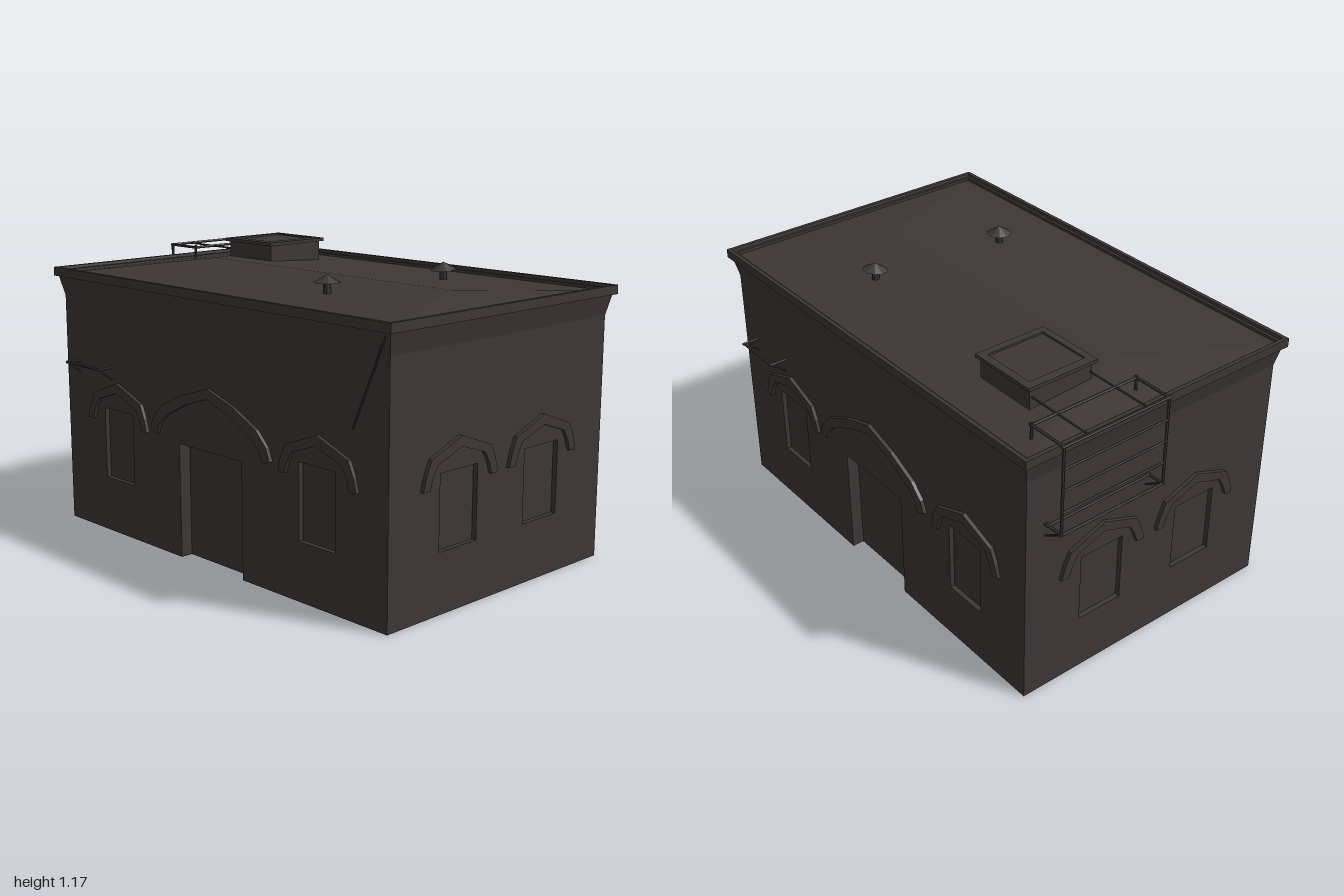
import * as THREE from 'three';

const HX = 0.6, HZ = 0.9375, CZ = 0.0275, WALL_TOP = 0.97;
const charcoal = new THREE.MeshStandardMaterial({ color: 0x3d3636, side: THREE.DoubleSide, flatShading: true });
charcoal.name = 'charcoal';

function add(parent, name, geometry, x = 0, y = 0, z = 0) {
  const mesh = new THREE.Mesh(geometry, charcoal);
  mesh.name = name;
  mesh.position.set(x, y, z);
  parent.add(mesh);
  return mesh;
}

// round bar between two points
function rod(parent, name, a, b, r = 0.006) {
  const p = new THREE.Vector3(...a), q = new THREE.Vector3(...b);
  const d = q.clone().sub(p);
  const mesh = add(parent, name, new THREE.CylinderGeometry(r, r, d.length(), 6));
  mesh.position.copy(p).add(q).multiplyScalar(0.5);
  mesh.quaternion.setFromUnitVectors(new THREE.Vector3(0, 1, 0), d.normalize());
}

// recess open to the front (and to the ground for doors)
function recess(parent, name, [u, y0, y1, w, depth]) {
  const g = new THREE.BoxGeometry(w, y1 - y0, depth);
  const idx = Array.from(g.index.array);
  const open = y0 === 0 ? [...idx.slice(0, 18), ...idx.slice(30)] : [...idx.slice(0, 24), ...idx.slice(30)];
  g.setIndex(open);
  g.clearGroups();
  add(parent, name, g, u, (y0 + y1) / 2, -depth / 2);
}

// raised arch moulding, from half profiles mirrored about its centre
function arch(parent, u, outer, inner) {
  const mirror = (pts) => pts.slice(0, -1).reverse().map(([x, y]) => [-x, y]);
  const loop = [...outer, ...mirror(outer), ...[...inner, ...mirror(inner)].reverse()];
  const shape = new THREE.Shape(loop.map(([x, y]) => new THREE.Vector2(x, y)));
  add(parent, 'archMoulding', new THREE.ExtrudeGeometry(shape, { depth: 0.015, bevelEnabled: false }), u);
}
const smallArch = (parent, u) => arch(parent, u,
  [[-0.2, 0.475], [-0.185, 0.53], [-0.16, 0.585], [0, 0.645]],
  [[-0.165, 0.475], [-0.15, 0.52], [-0.125, 0.562], [0, 0.605]]);
const largeArch = (parent, u) => arch(parent, u,
  [[-0.355, 0.5], [-0.335, 0.55], [-0.28, 0.605], [-0.15, 0.668], [0, 0.715]],
  [[-0.315, 0.485], [-0.295, 0.53], [-0.25, 0.572], [-0.13, 0.632], [0, 0.675]]);

// one wall in its own plane, with holes and recesses
function wall(name, half, openings) {
  const group = new THREE.Group();
  group.name = name;
  const door = openings.find((o) => o[1] === 0);
  const pts = [[-half, 0]];
  if (door) {
    const [u, , top, w] = door;
    pts.push([u - w / 2, 0], [u - w / 2, top], [u + w / 2, top], [u + w / 2, 0]);
  }
  pts.push([half, 0], [half, WALL_TOP], [-half, WALL_TOP]);
  const shape = new THREE.Shape(pts.map(([x, y]) => new THREE.Vector2(x, y)));
  for (const o of openings) {
    recess(group, o === door ? 'door' : 'window', o);
    if (o === door) continue;
    const [u, y0, y1, w] = o;
    shape.holes.push(new THREE.Path([[u - w / 2, y0], [u - w / 2, y1], [u + w / 2, y1], [u + w / 2, y0]]
      .map(([x, y]) => new THREE.Vector2(x, y))));
  }
  add(group, 'wallFace', new THREE.ShapeGeometry(shape));
  return group;
}

function endWall(name) {
  const g = wall(name, HX, [[-0.24, 0.235, 0.522, 0.2, 0.02], [0.228, 0.235, 0.525, 0.2, 0.02]]);
  smallArch(g, -0.243);
  smallArch(g, 0.222);
  return g;
}

function sideWall(name) {
  const g = wall(name, HZ, [
    [-0.583, 0.23, 0.527, 0.19, 0.02], [0, 0, 0.465, 0.37, 0.05], [0.59, 0.23, 0.527, 0.185, 0.02],
  ]);
  smallArch(g, -0.578);
  smallArch(g, 0.6);
  largeArch(g, 0.003);
  // wall bracket with two braced arms
  for (const u of [-0.6225, -0.8425]) {
    rod(g, 'bracketArm', [u, 0.705, 0], [u, 0.705, 0.072]);
    rod(g, 'bracketBrace', [u, 0.7, 0.06], [u, 0.655, 0], 0.004);
  }
  rod(g, 'bracketBar', [-0.6225, 0.705, 0.065], [-0.8425, 0.705, 0.065]);
  return g;
}

// rectangular rings [half x, y, half z] joined in order
function loft(rings) {
  const pos = [];
  const corner = ([x, y, z], i) => [(i === 0 || i === 3 ? -x : x), y, (i < 2 ? z : -z)];
  for (let r = 0; r + 1 < rings.length; r++) {
    for (let i = 0; i < 4; i++) {
      const j = (i + 1) % 4;
      const a = corner(rings[r], i), b = corner(rings[r], j);
      const c = corner(rings[r + 1], j), d = corner(rings[r + 1], i);
      pos.push(...a, ...b, ...c, ...a, ...c, ...d);
    }
  }
  const g = new THREE.BufferGeometry();
  g.setAttribute('position', new THREE.Float32BufferAttribute(pos, 3));
  g.computeVertexNormals();
  return g;
}

function roofVent(x, z, tilt) {
  const g = new THREE.Group();
  g.name = 'roofVent';
  add(g, 'ventPipe', new THREE.CylinderGeometry(0.014, 0.016, 0.06, 8), 0, 1.1, 0);
  const cap = add(g, 'ventCap', new THREE.ConeGeometry(0.052, 0.03, 10), 0, 1.138, 0);
  cap.rotation.z = tilt;
  g.position.set(x, 0, z);
  return g;
}

function roofHatch() {
  const g = new THREE.Group();
  g.name = 'roofHatch';
  add(g, 'hatchBody', new THREE.BoxGeometry(0.285, 0.1, 0.27), 0, 1.11, 0);
  add(g, 'hatchLid', loft([[0.14, 1.158, 0.13], [0.157, 1.158, 0.148], [0.157, 1.172, 0.148],
    [0.127, 1.174, 0.115], [0.127, 1.166, 0.115], [0, 1.166, 0]]));
  g.position.set(0.272, 0, -0.563);
  return g;
}

// access ladder with its roof rails and lower platform
function ladder() {
  const g = new THREE.Group();
  g.name = 'accessLadder';
  const L = 0.04, R = 0.515, out = -0.994, top = 1.125, low = 0.762;
  for (const x of [L, R]) {
    rod(g, 'ladderPost', [x, low, out], [x, top, out]);
    rod(g, 'topRail', [x, top, out], [x, top, -0.82]);
    rod(g, 'railPost', [x, 1.07, -0.83], [x, 1.135, -0.83]);
    rod(g, 'platformRail', [x, low, out], [x, low, -0.91]);
    rod(g, 'platformBrace', [x, low - 0.005, out + 0.01], [x, 0.71, -0.91], 0.004);
  }
  for (const [y, z] of [[top, out], [top, -0.83], [low, out], [low, -0.925]]) {
    rod(g, 'crossBar', [L - 0.008, y, z], [R + 0.008, y, z]);
  }
  for (const y of [0.855, 0.945, 1.035]) rod(g, 'rung', [L, y, out], [R, y, out], 0.005);
  for (const x of [0.14, 0.405]) rod(g, 'hatchRail', [x, top, out], [x, top, -0.7], 0.004);
  return g;
}

export function createModel() {
  const model = new THREE.Group();
  model.name = 'brickBuilding';

  // four walls, opposite sides turned half round
  const placements = [
    [endWall('frontWall'), 0, CZ + HZ, 0], [endWall('backWall'), 0, CZ - HZ, Math.PI],
    [sideWall('leftWall'), HX, CZ, Math.PI / 2], [sideWall('rightWall'), -HX, CZ, -Math.PI / 2],
  ];
  for (const [w, x, z, turn] of placements) {
    w.position.set(x, 0, z);
    w.rotation.y = turn;
    model.add(w);
  }

  // flared cornice with rim, then the shallow hipped roof
  const ring = (o, y) => [HX + o, y, HZ + o];
  add(model, 'cornice', loft([ring(0, WALL_TOP), ring(0.018, 1.052), ring(0.032, 1.052), ring(0.032, 1.088),
    ring(0.016, 1.088), ring(0.014, 1.076), ring(0.002, 1.076), ring(0.002, 1.064)]), 0, 0, CZ);
  add(model, 'roof', loft([ring(0.002, 1.064), [0, 1.1, 0.675]]), 0, 0, CZ);

  model.add(roofHatch(), roofVent(-0.3, 0.36, 0), roofVent(0.29, 0.41, 0.12), ladder());

  // cable from the cornice to the wall
  rod(model, 'cable', [-0.612, 1.04, 0.955], [-0.604, 0.7, 0.8], 0.004);
  return model;
}
